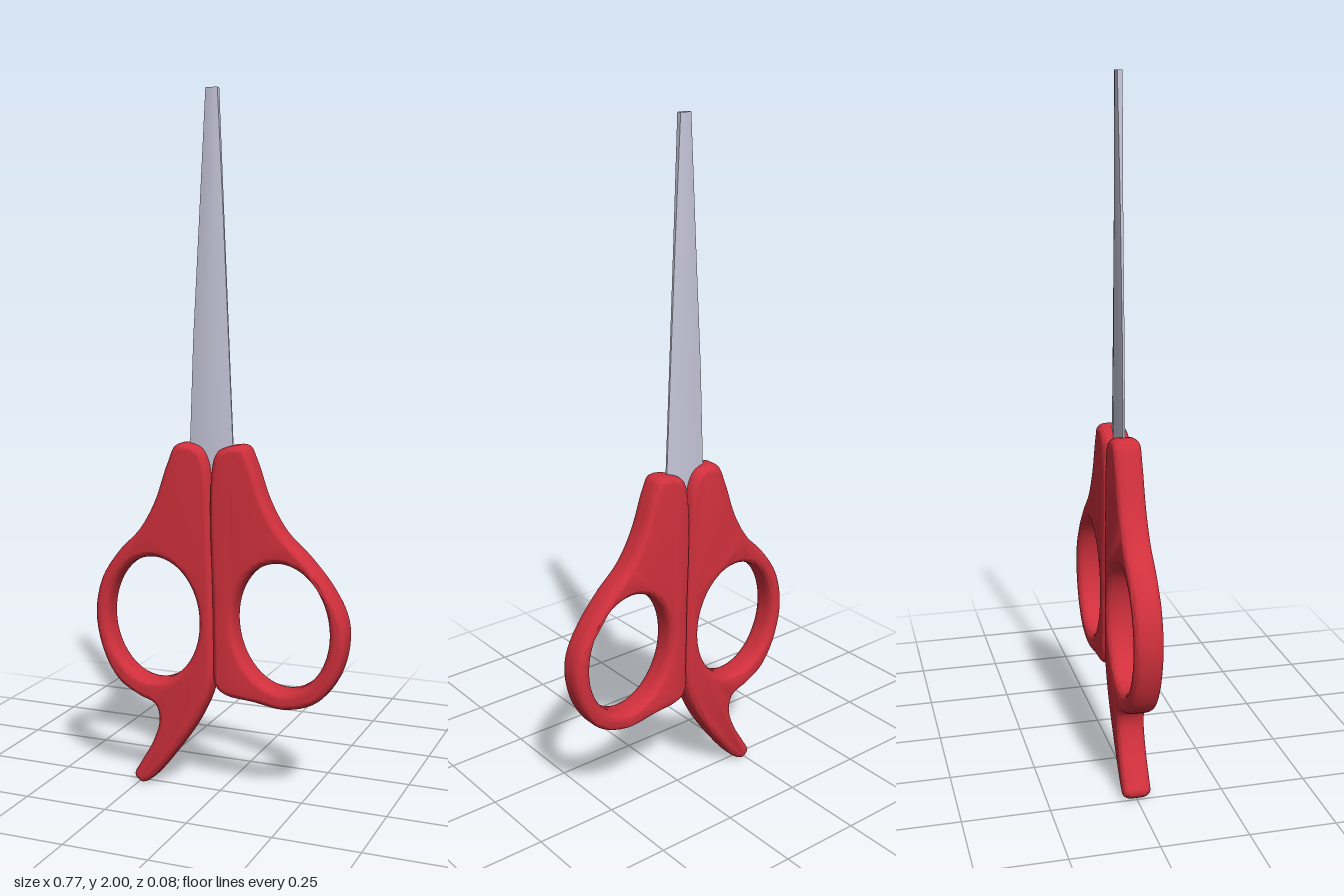
import * as THREE from 'three';
import { mergeVertices, toCreasedNormals } from 'three/addons/utils/BufferGeometryUtils.js';

const red = new THREE.MeshStandardMaterial({ color: 0xd0303c });
const steel = new THREE.MeshStandardMaterial({ color: 0xc8c8dc });

// Rounded plastic grip: closed clockwise spline outline with an oval finger hole
function grip(name, points, [cx, cy, rx, ry, tilt]) {
  const curve = new THREE.CatmullRomCurve3(
    points.map(([x, y]) => new THREE.Vector3(x, y, 0)), true, 'centripetal');
  const shape = new THREE.Shape(curve.getPoints(110).slice(0, -1).map(p => new THREE.Vector2(p.x, p.y)));
  const hole = new THREE.Path();
  hole.absellipse(cx, cy, rx, ry, 0, Math.PI * 2, false, tilt);
  shape.holes.push(hole);
  const bevel = 0.018, round = 0.026, half = 0.04;
  let geo = new THREE.ExtrudeGeometry(shape, {
    depth: 2 * (half - round), steps: 1, curveSegments: 48, bevelEnabled: true,
    bevelSize: bevel, bevelOffset: -bevel, bevelThickness: round, bevelSegments: 6,
  });
  geo.translate(0, 0, round - half);
  geo.deleteAttribute('uv');
  geo.deleteAttribute('normal');
  geo = toCreasedNormals(mergeVertices(geo, 1e-4), 0.7);
  const mesh = new THREE.Mesh(geo, red);
  mesh.name = name;
  return mesh;
}

// Tapered blades: lens-like sections [y, left, right, edge half thickness]
function blades() {
  const sections = [
    [0.85, -0.095, 0.046, 0.003], [1.0, -0.092, 0.040, 0.003], [1.31, -0.081, 0.026, 0.003],
    [1.66, -0.061, 0.010, 0.004], [2.0, -0.041, -0.006, 0.007],
  ];
  const pos = [], idx = [], n = 8;
  for (const [y, l, r, e] of sections) {
    const a = l + (r - l) * 0.3, b = l + (r - l) * 0.7, t = 0.009;
    for (const [x, z] of [[l, e], [a, t], [b, t], [r, e], [r, -e], [b, -t], [a, -t], [l, -e]]) pos.push(x, y, z);
  }
  for (let s = 0; s < sections.length - 1; s++) {
    for (let i = 0; i < n; i++) {
      const p = s * n + i, q = s * n + (i + 1) % n;
      idx.push(p, q, q + n, p, q + n, p + n);
    }
  }
  // End caps
  const top = (sections.length - 1) * n;
  for (let i = 1; i < n - 1; i++) idx.push(0, i + 1, i, top, top + i, top + i + 1);
  const geo = new THREE.BufferGeometry();
  geo.setAttribute('position', new THREE.Float32BufferAttribute(pos, 3));
  geo.setIndex(idx);
  const mesh = new THREE.Mesh(toCreasedNormals(geo, 0.5), steel);
  mesh.name = 'blades';
  return mesh;
}

export function createModel() {
  const group = new THREE.Group();
  group.name = 'scissors';
  group.add(blades());
  // Grip with the curved finger rest
  group.add(grip('gripWithFingerRest', [
    [-0.125, 1.018], [-0.055, 1.012], [-0.030, 0.97], [-0.020, 0.88], [-0.012, 0.65], [-0.008, 0.45],
    [-0.014, 0.33], [-0.055, 0.225], [-0.13, 0.11], [-0.215, 0.010], [-0.24, 0.001], [-0.263, 0.024],
    [-0.245, 0.06], [-0.205, 0.13], [-0.183, 0.20], [-0.195, 0.245], [-0.245, 0.266], [-0.31, 0.305],
    [-0.36, 0.385], [-0.385, 0.50], [-0.365, 0.61], [-0.31, 0.695], [-0.243, 0.765], [-0.194, 0.85],
    [-0.155, 0.96],
  ], [-0.198, 0.503, 0.143, 0.183, 0]));
  // Plain grip
  group.add(grip('plainGrip', [
    [0.01, 1.01], [0.08, 1.022], [0.105, 0.98], [0.145, 0.87], [0.195, 0.785], [0.268, 0.715],
    [0.335, 0.635], [0.375, 0.56], [0.384, 0.49], [0.36, 0.39], [0.30, 0.31], [0.21, 0.278],
    [0.11, 0.289], [0.025, 0.3], [-0.006, 0.325], [-0.012, 0.42], [-0.016, 0.62], [-0.022, 0.8],
    [-0.019, 0.93], [-0.008, 0.99],
  ], [0.193, 0.515, 0.141, 0.182, 0.1]));
  return group;
}
